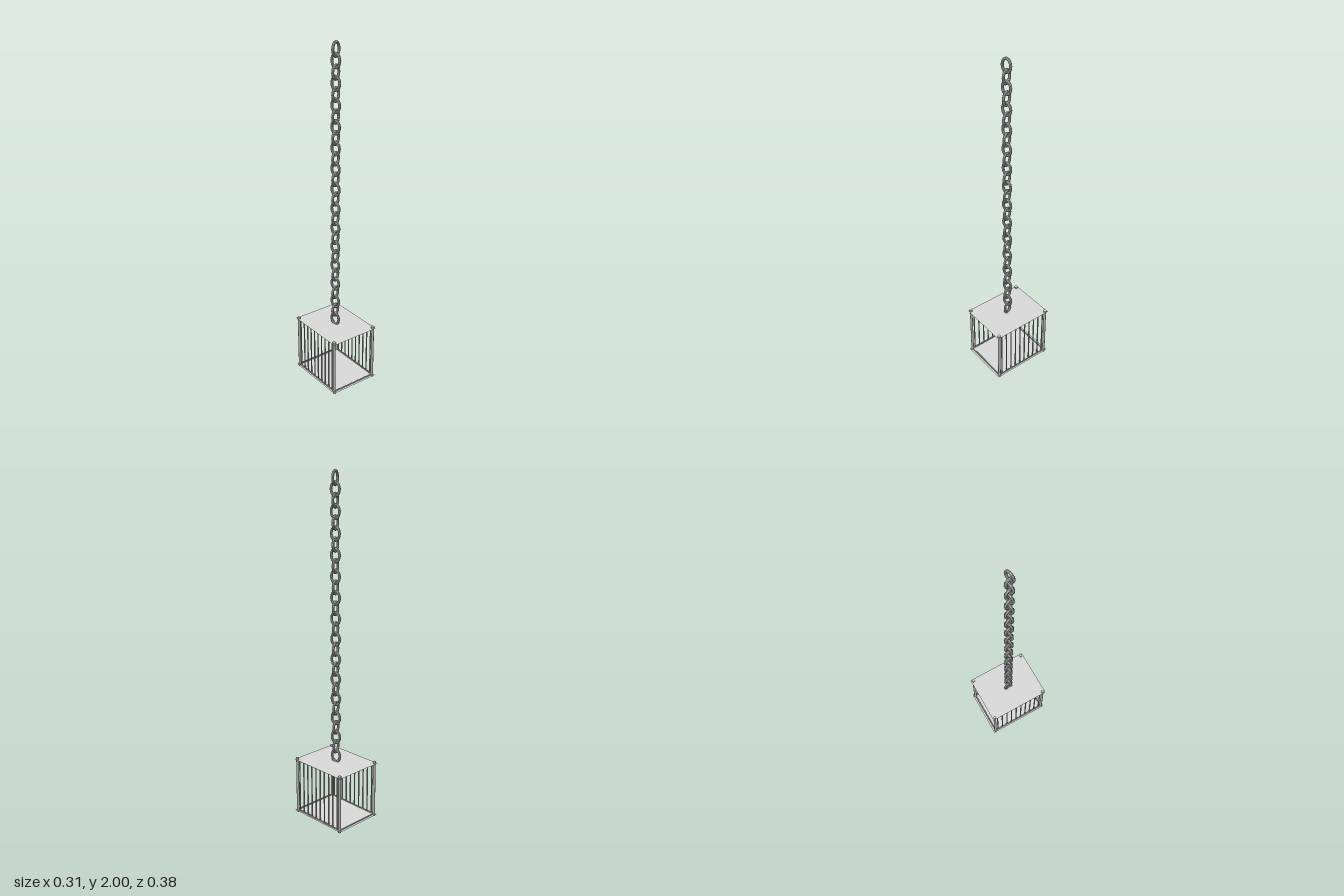
import * as THREE from 'three';

const sheetSteel = new THREE.MeshStandardMaterial({ color: 0xdadada, side: THREE.DoubleSide });
sheetSteel.name = 'light sheet steel';
const barSteel = new THREE.MeshStandardMaterial({ color: 0xa8a8a8 });
barSteel.name = 'grey bar steel';
const iron = new THREE.MeshStandardMaterial({ color: 0xb4b4b4, flatShading: true });
iron.name = 'grey chain iron';

// Closed oval centre line of one chain link, in the xy plane
class Oval extends THREE.Curve {
  getPoint(t, target = new THREE.Vector3()) {
    const a = t * Math.PI * 2;
    return target.set(Math.cos(a) * 0.0258, Math.sin(a) * 0.0373, 0);
  }
}

function add(parent, name, geometry, material, x, y, z) {
  const mesh = new THREE.Mesh(geometry, material);
  mesh.name = name;
  mesh.position.set(x, y, z);
  parent.add(mesh);
  return mesh;
}

export function createModel() {
  const model = new THREE.Group();
  model.name = 'hangingCage';

  // Cage: thin floor and roof sheets, rails, corner posts, barred sides
  const cage = new THREE.Group();
  cage.name = 'cage';
  model.add(cage);
  const sheet = new THREE.PlaneGeometry(0.308, 0.384).rotateX(-Math.PI / 2);
  add(cage, 'floorSheet', sheet, sheetSteel, 0, 0.009, 0);
  add(cage, 'roofSheet', sheet, sheetSteel, 0, 0.338, 0);

  const post = new THREE.CylinderGeometry(0.008, 0.008, 0.335, 16);
  const cap = new THREE.CylinderGeometry(0.0092, 0.0092, 0.018, 16);
  const capMaterials = [barSteel, sheetSteel, sheetSteel];
  const bar = new THREE.CylinderGeometry(0.004, 0.004, 0.322, 10);
  const sideRail = new THREE.CylinderGeometry(0.004, 0.004, 0.354, 10).rotateX(Math.PI / 2);
  const endRail = new THREE.CylinderGeometry(0.004, 0.004, 0.284, 10).rotateZ(Math.PI / 2);
  for (const x of [-0.142, 0.142]) {
    for (const z of [-0.177, 0.177]) {
      add(cage, 'cornerPost', post, barSteel, x, 0.1745, z);
      add(cage, 'postFoot', cap, capMaterials, x, 0.009, z);
      add(cage, 'postCap', cap, capMaterials, x, 0.34, z);
    }
    for (let i = 0; i < 10; i++) {
      add(cage, 'sideBar', bar, barSteel, x, 0.173, (i - 4.5) * 0.035);
    }
  }
  for (const y of [0.013, 0.334]) {
    for (const s of [-1, 1]) {
      add(cage, 'sideRail', sideRail, barSteel, s * 0.142, y, 0);
      add(cage, 'endRail', endRail, barSteel, 0, y, s * 0.177);
    }
  }

  // Chain: interlocked links, alternately turned a quarter, leaning slightly forward
  const chain = new THREE.Group();
  chain.name = 'chain';
  model.add(chain);
  const linkGeometry = new THREE.TubeGeometry(new Oval(), 16, 0.0077, 8, true);
  const count = 28;
  for (let i = 0; i < count; i++) {
    const t = i / (count - 1);
    const link = add(chain, 'chainLink', linkGeometry, iron,
      -0.003, 1.955 - t * 1.582, 0.001 + 0.006 * (1 - t));
    link.rotation.y = THREE.MathUtils.degToRad(15 + (i % 2) * 90);
  }
  return model;
}
